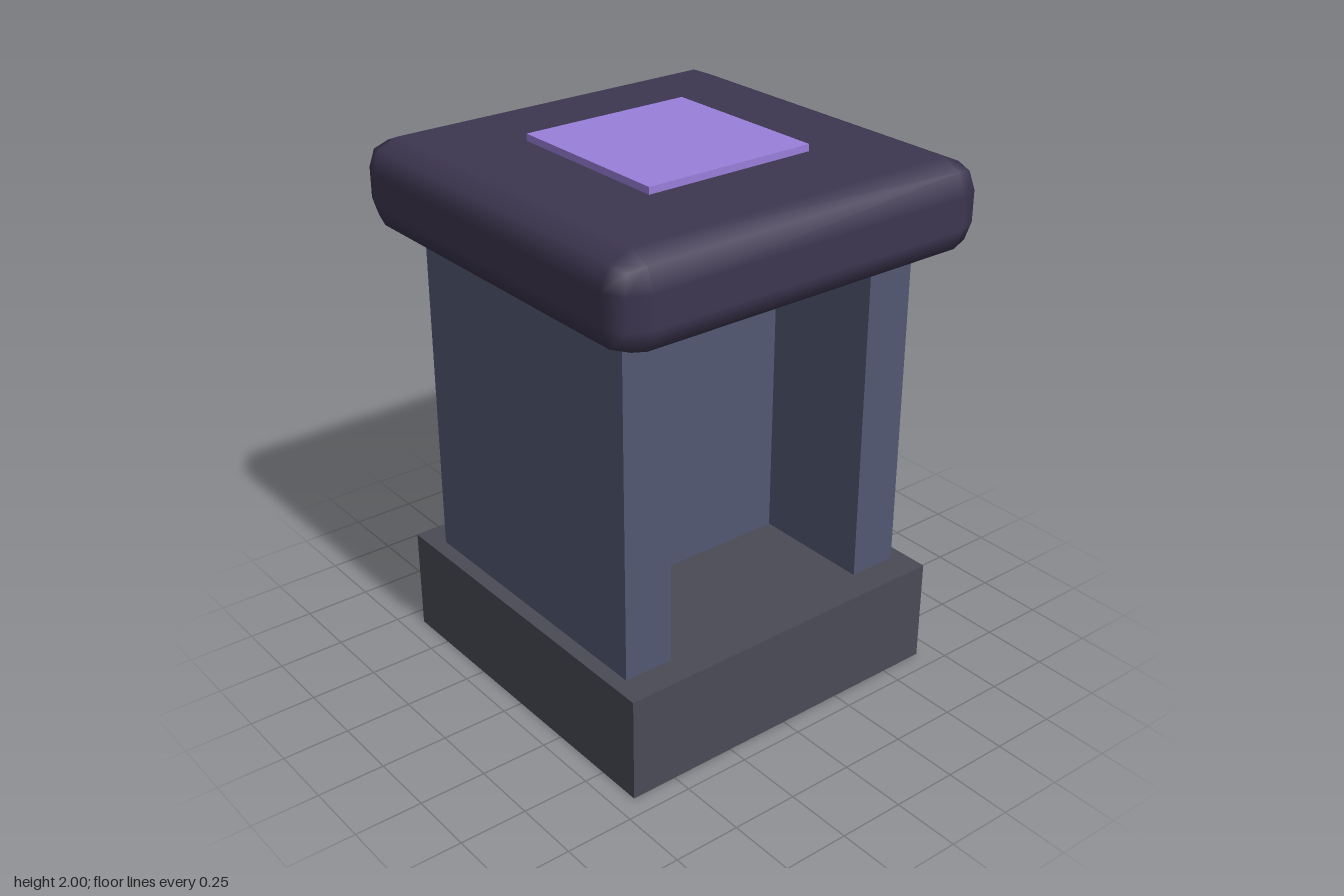
import * as THREE from 'three';
import { RoundedBoxGeometry } from 'three/addons/geometries/RoundedBoxGeometry.js';

// BoxGeometry face order, used to leave faces out
const FACES = ['right', 'left', 'top', 'bottom', 'front', 'back'];

function paint(color) {
  return new THREE.MeshStandardMaterial({ color, side: THREE.DoubleSide });
}

// Box standing on y = 0 with the listed faces left open
function openBox(width, height, depth, open) {
  const geometry = new THREE.BoxGeometry(width, height, depth);
  const index = Array.from(geometry.index.array);
  geometry.setIndex(index.filter((_, i) => !open.includes(FACES[Math.floor(i / 6)])));
  geometry.clearGroups();
  return geometry.translate(0, height / 2, 0);
}

export function createModel() {
  const model = new THREE.Group();
  model.name = 'pedestal';

  function add(name, geometry, material, y = 0, z = 0) {
    const mesh = new THREE.Mesh(geometry, material);
    mesh.name = name;
    mesh.position.set(0, y, z);
    model.add(mesh);
  }

  const stone = paint(0x4b4b57);
  const slate = paint(0x525873);
  const dark = paint(0x3d3650);
  const violet = paint(0x9a80dc);

  // Hollow plinth, open underneath
  add('base', openBox(1.35, 0.395, 1.35, ['bottom']), stone);

  // H-shaped column: two broad panels joined by a thin web
  const columnTop = 1.66;
  for (const [name, side] of [['frontPanel', 1], ['backPanel', -1]]) {
    add(name, openBox(1.125, columnTop, 0.19, ['bottom']), slate, 0, side * 0.523);
  }
  add('web', openBox(0.19, columnTop, 0.856, ['bottom', 'front', 'back']), slate);

  // Rounded cap slab
  add('cap', new RoundedBoxGeometry(1.515, 0.335, 1.515, 1, 0.112), dark, 1.807);

  // Square inlay on top
  add('topPlate', new THREE.BoxGeometry(0.67, 0.06, 0.67), violet, 1.97);

  return model;
}
